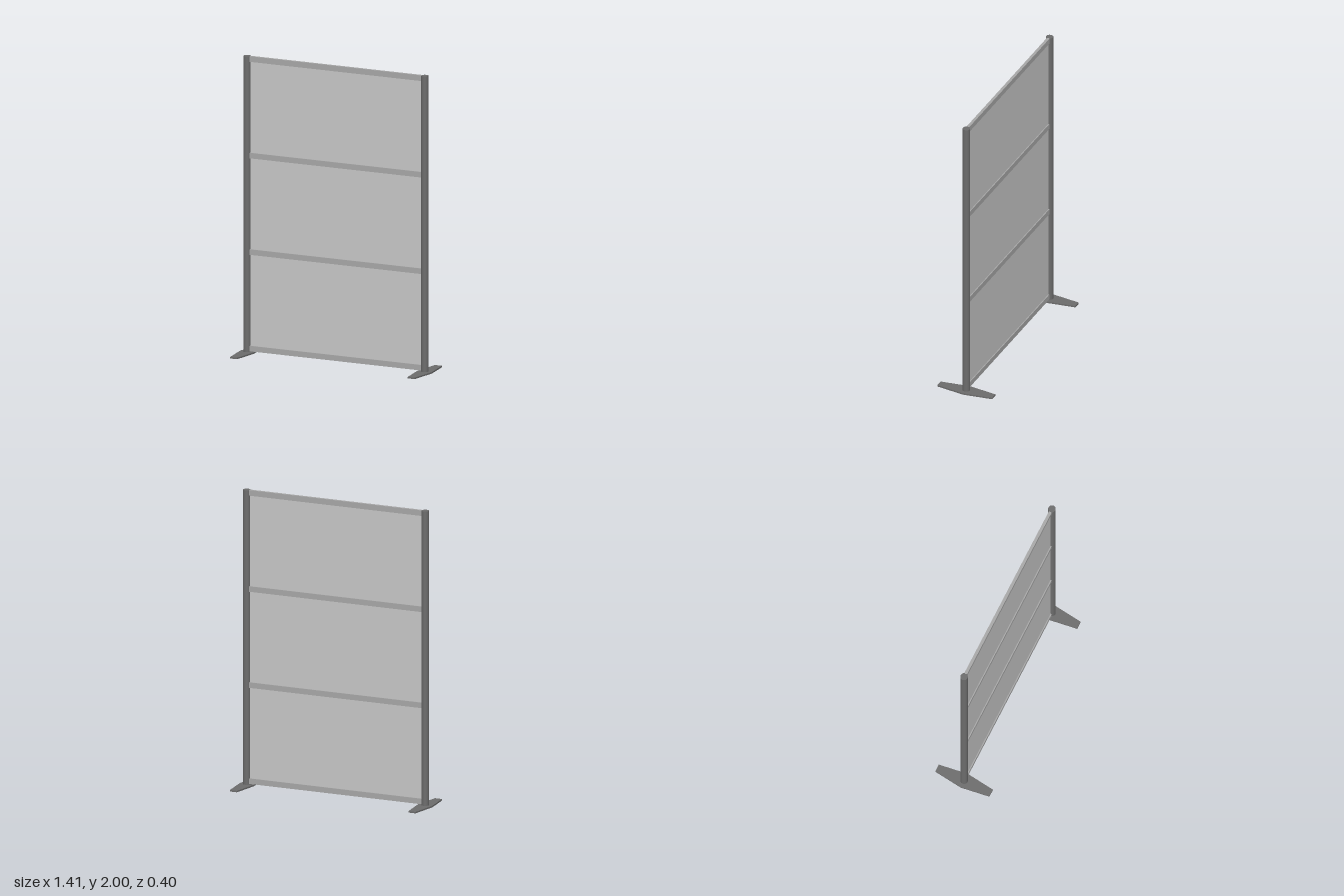
import * as THREE from 'three';

function material(name, color) {
  const m = new THREE.MeshStandardMaterial({ color });
  m.name = name;
  return m;
}

export function createModel() {
  const group = new THREE.Group();
  const darkGrey = material('dark grey metal', 0x6c6c6c);
  const midGrey = material('mid grey rail', 0xa8a8a8);
  const lightGrey = material('light grey panel', 0xc8c8c8);

  const add = (name, geometry, mat, x, y, z = 0) => {
    const mesh = new THREE.Mesh(geometry, mat);
    mesh.name = name;
    mesh.position.set(x, y, z);
    group.add(mesh);
    return mesh;
  };

  const postX = 0.653, footHeight = 0.01, bottom = 0.015, top = 2;

  // Tapered flat foot, widest at the post
  const footShape = new THREE.Shape([
    [-0.026, -0.198], [0.026, -0.198], [0.052, 0],
    [0.026, 0.198], [-0.026, 0.198], [-0.052, 0],
  ].map(([x, z]) => new THREE.Vector2(x, z)));
  const foot = new THREE.ExtrudeGeometry(footShape, { depth: footHeight, bevelEnabled: false });
  foot.rotateX(-Math.PI / 2);

  // Round posts standing on the feet
  const postHeight = top - footHeight;
  const post = new THREE.CylinderGeometry(0.025, 0.025, postHeight, 32);
  for (const [side, s] of [['left', 1], ['right', -1]]) {
    add(side + 'Foot', foot, darkGrey, s * postX, 0);
    add(side + 'Post', post, darkGrey, s * postX, footHeight + postHeight / 2);
  }

  // Four evenly spaced rails with a thin panel in each bay
  const width = 2 * (postX - 0.02), railHeight = 0.037, railCount = 4;
  const pitch = (top - bottom - railHeight) / (railCount - 1);
  const rail = new THREE.BoxGeometry(width, railHeight, 0.02);
  const panel = new THREE.BoxGeometry(width, pitch - railHeight, 0.006);
  for (let i = 0; i < railCount; i++) {
    const y = bottom + railHeight / 2 + i * pitch;
    add('rail' + (i + 1), rail, midGrey, 0, y);
    if (i < railCount - 1) add('panel' + (i + 1), panel, lightGrey, 0, y + pitch / 2);
  }
  return group;
}
